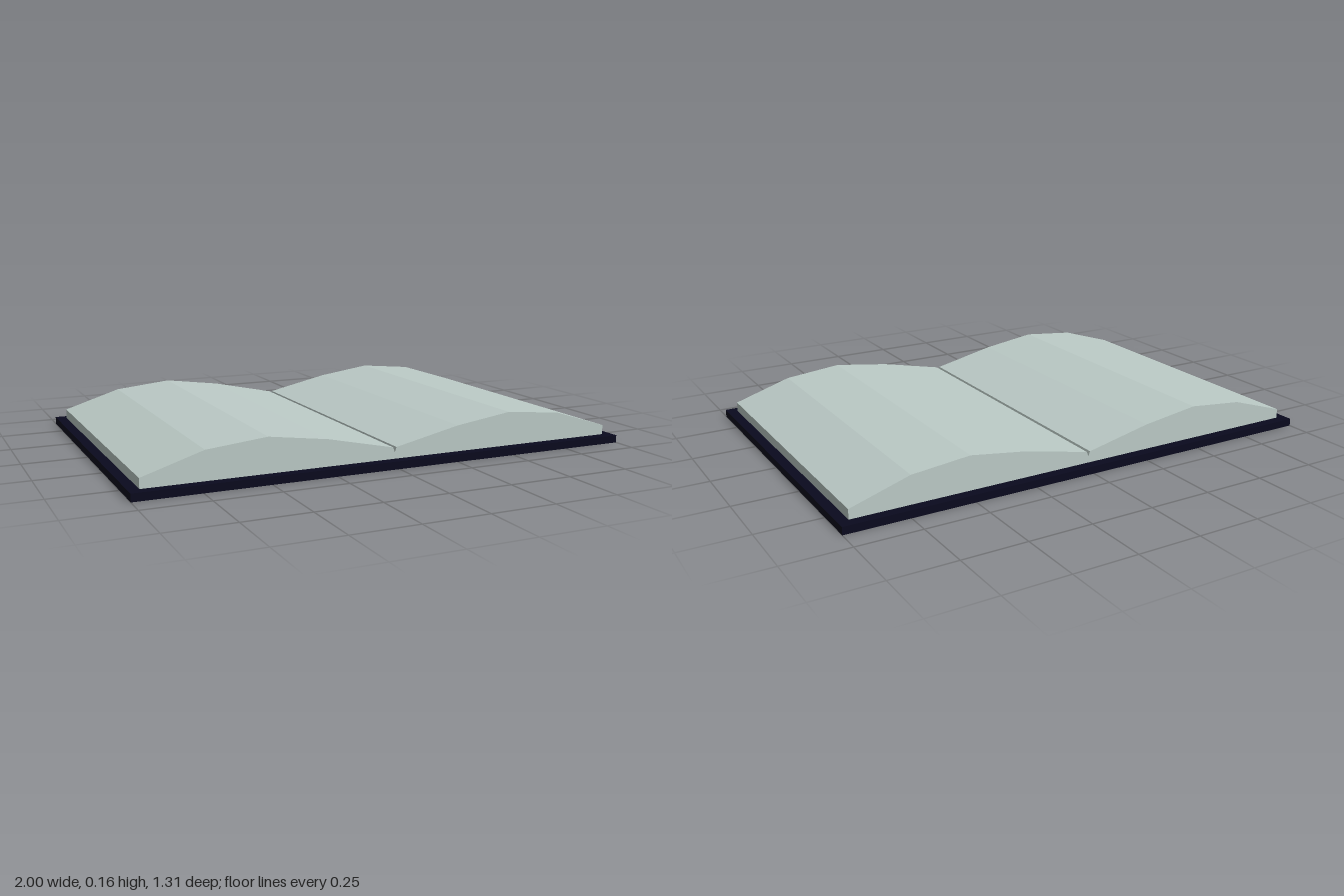
import * as THREE from 'three';

export function createModel() {
  const book = new THREE.Group();
  book.name = 'openBook';

  const coverMaterial = new THREE.MeshStandardMaterial({ color: 0x0a0a1e });
  coverMaterial.name = 'midnight cover';
  const paperMaterial = new THREE.MeshStandardMaterial({ color: 0xbccbc7 });
  paperMaterial.name = 'pale paper';

  // Flat cover lying open
  const coverHeight = 0.03;
  const cover = new THREE.Mesh(new THREE.BoxGeometry(2, coverHeight, 1.31), coverMaterial);
  cover.name = 'cover';
  cover.position.y = coverHeight / 2;
  book.add(cover);

  // Faceted page block: half profile from the gutter to the outer edge, mirrored
  const half = [
    [0.007, 0.074], [0.27, 0.131], [0.5, 0.163],
    [0.73, 0.14], [0.96, 0.068], [0.96, coverHeight],
  ];
  const mirrored = half.map(([x, y]) => [-x, y]).reverse();
  const profile = [...mirrored, [0, 0.055], ...half].map(([x, y]) => new THREE.Vector2(x, y));

  const pageDepth = 1.23;
  const pagesGeometry = new THREE.ExtrudeGeometry(new THREE.Shape(profile), {
    depth: pageDepth,
    bevelEnabled: false,
  });
  pagesGeometry.translate(0, 0, -pageDepth / 2);
  const pages = new THREE.Mesh(pagesGeometry, paperMaterial);
  pages.name = 'pages';
  book.add(pages);

  return book;
}
